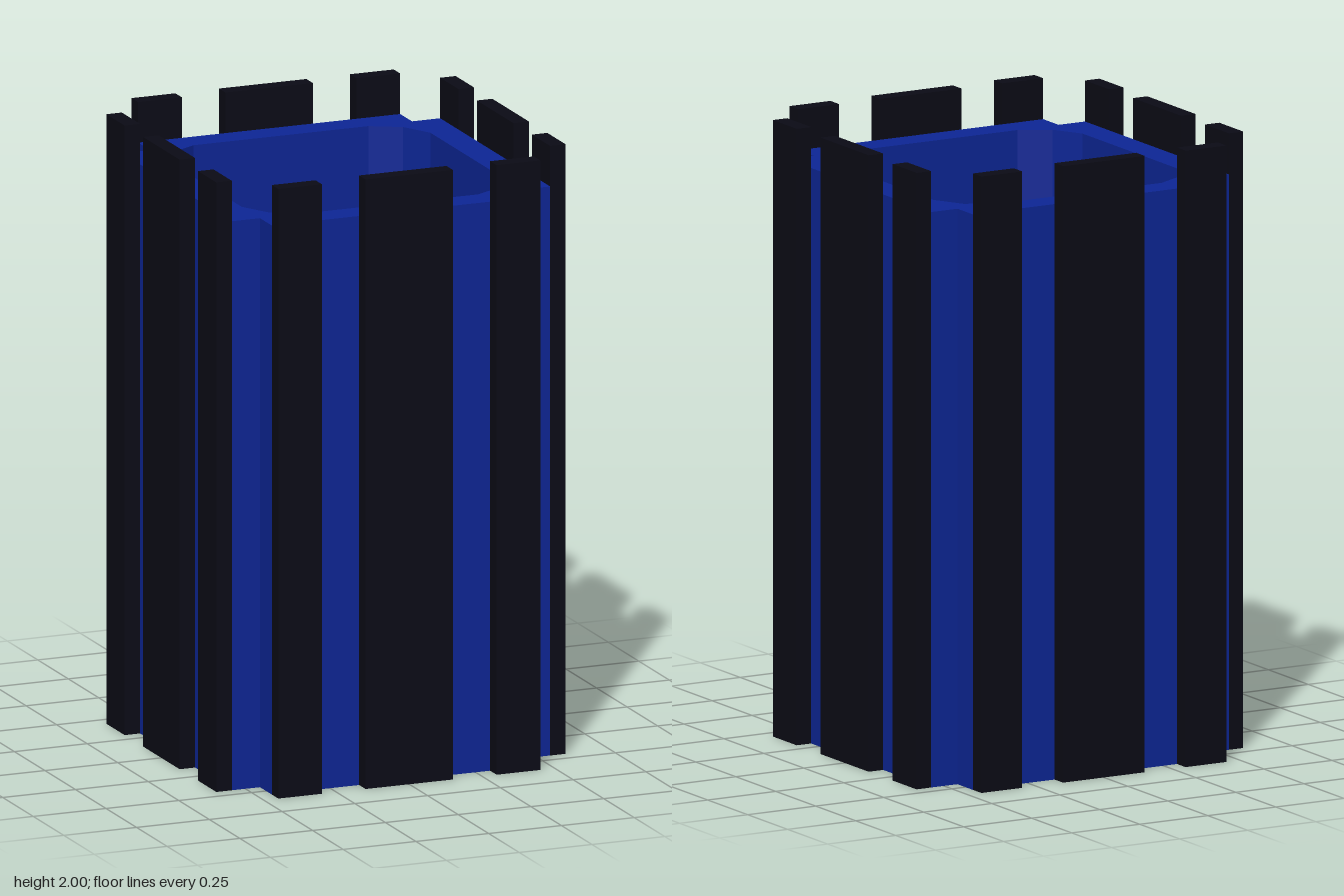
import * as THREE from 'three';

const HEIGHT = 2, RIM = 1.867, FLOOR = 1.54;
const ARM = 0.547, INNER = 0.45, OUTER = 0.6;

// Repeat a quarter outline around all four sides
function fourfold(quarter) {
  const points = [];
  for (let i = 0; i < 4; i++) {
    for (const [x, y] of quarter) {
      points.push(new THREE.Vector2(x, y).rotateAround(new THREE.Vector2(), i * Math.PI / 2));
    }
  }
  return points;
}

// Upright prism between two heights
function prism(shape, y0, y1) {
  return new THREE.ExtrudeGeometry(shape, { depth: y1 - y0, bevelEnabled: false })
    .rotateX(-Math.PI / 2)
    .translate(0, y0, 0);
}

export function createModel() {
  const group = new THREE.Group();
  const blue = new THREE.MeshStandardMaterial({ color: 0x0d2696 });
  const dark = new THREE.MeshStandardMaterial({ color: 0x0b0b16 });
  const black = new THREE.MeshStandardMaterial({ color: 0x0d0d0d });

  const add = (name, geometry, material, parent = group) => {
    const mesh = new THREE.Mesh(geometry, material);
    mesh.name = name;
    parent.add(mesh);
    return mesh;
  };

  // Square plan with notched corners, and the chamfered well in its top
  const plan = fourfold([[ARM, -INNER], [ARM, INNER], [INNER, INNER]]);
  const well = fourfold([[INNER, -0.3], [INNER, 0.3], [0.397, 0.397]]);

  add('body', prism(new THREE.Shape(plan), 0, FLOOR), blue);

  const rimShape = new THREE.Shape(plan);
  rimShape.holes.push(new THREE.Path(well));
  add('rim', prism(rimShape, FLOOR, RIM), blue);

  // Dark floor of the well
  const floor = new THREE.ShapeGeometry(new THREE.Shape(well)).rotateX(-Math.PI / 2);
  add('wellFloor', floor, black).position.y = FLOOR + 0.003;

  // Three upright slats on each side: a wide one between two narrow ones
  for (let i = 0; i < 4; i++) {
    const side = new THREE.Group();
    side.name = ['front', 'left', 'back', 'right'][i] + 'Slats';
    side.rotation.y = i * Math.PI / 2;
    for (const [x, width] of [[-0.375, 0.15], [0, 0.3], [0.375, 0.15]]) {
      const slat = new THREE.BoxGeometry(width, HEIGHT, OUTER - ARM);
      add('slat', slat, dark, side).position.set(x, HEIGHT / 2, (OUTER + ARM) / 2);
    }
    group.add(side);
  }

  return group;
}
